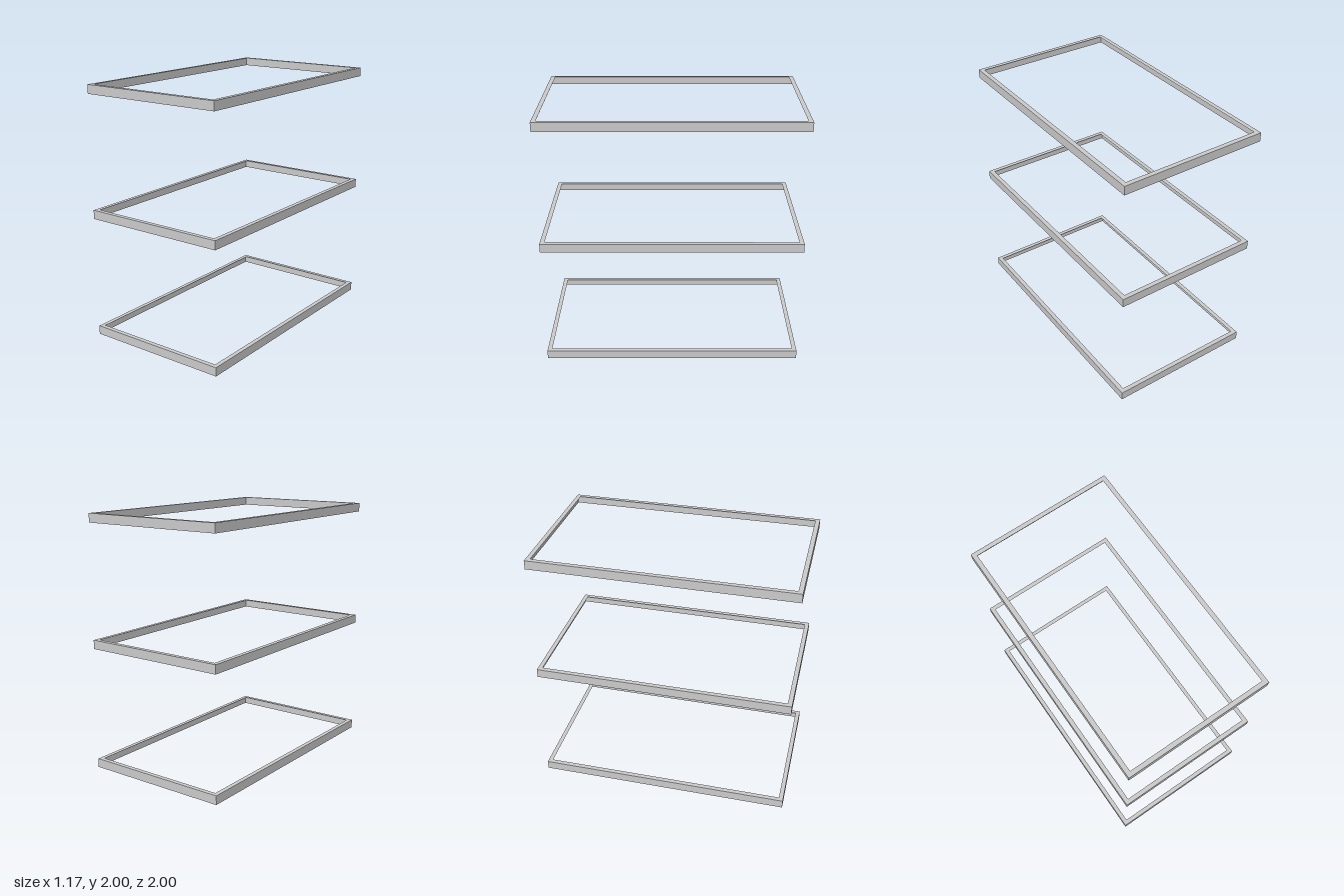
import * as THREE from 'three';

const HALF_X = 0.587, HALF_Z = 1, HEIGHT = 0.07, LIP = 0.035;

const material = new THREE.MeshStandardMaterial({
  color: 0xcccccc, flatShading: true, side: THREE.DoubleSide,
});

function rectangle(PathType, hx, hz) {
  return new PathType([
    new THREE.Vector2(-hx, -hz), new THREE.Vector2(hx, -hz),
    new THREE.Vector2(hx, hz), new THREE.Vector2(-hx, hz),
  ]);
}

// One thin angle-section frame: upright walls with an inward lip along the top
function createFrame() {
  const frame = new THREE.Group();

  const outline = rectangle(THREE.Shape, HALF_X, HALF_Z);
  outline.holes.push(rectangle(THREE.Path, HALF_X - LIP, HALF_Z - LIP));
  const lip = new THREE.Mesh(new THREE.ShapeGeometry(outline).rotateX(-Math.PI / 2), material);
  lip.name = 'topLip';
  lip.position.y = HEIGHT;
  frame.add(lip);

  // Four sheet walls facing outwards
  ['frontWall', 'leftWall', 'backWall', 'rightWall'].forEach((name, i) => {
    const onSide = i % 2 === 1;
    const length = 2 * (onSide ? HALF_Z : HALF_X);
    const offset = onSide ? HALF_X : HALF_Z;
    const geometry = new THREE.PlaneGeometry(length, HEIGHT)
      .translate(0, HEIGHT / 2, offset)
      .rotateY(i * Math.PI / 2);
    const wall = new THREE.Mesh(geometry, material);
    wall.name = name;
    frame.add(wall);
  });
  return frame;
}

export function createModel() {
  const model = new THREE.Group();
  model.name = 'stackedFrames';

  // Three equal frames, evenly spaced up to a height of 2
  ['bottomFrame', 'middleFrame', 'topFrame'].forEach((name, i) => {
    const frame = createFrame();
    frame.name = name;
    frame.position.y = i * (2 - HEIGHT) / 2;
    model.add(frame);
  });
  return model;
}
